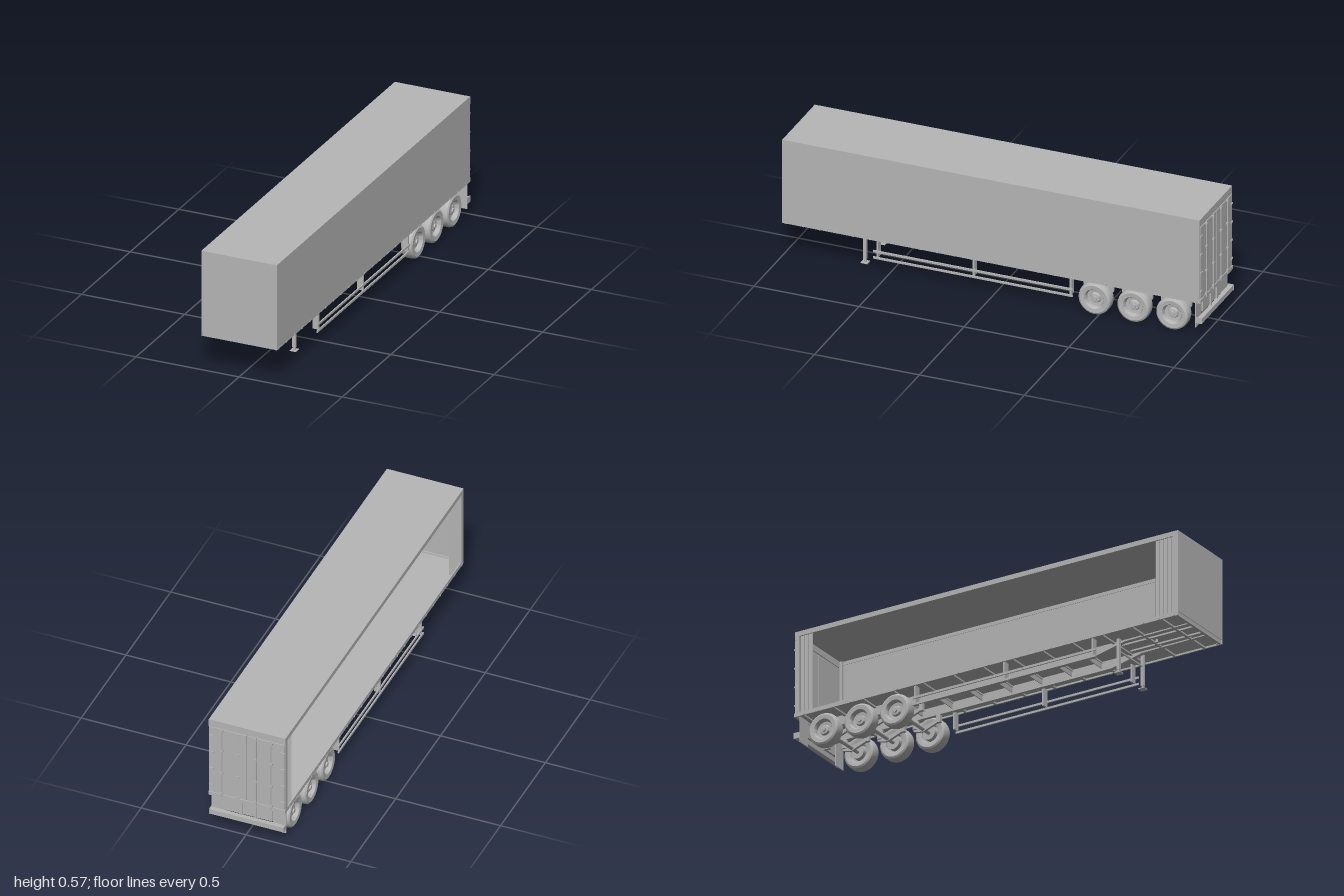
import * as THREE from 'three';
import { toCreasedNormals } from 'three/addons/utils/BufferGeometryUtils.js';

const grey = new THREE.MeshStandardMaterial({ color: 0xb6b6b6, side: THREE.DoubleSide });
grey.name = 'plainGrey';

export function createModel() {
  const root = new THREE.Group();
  root.name = 'boxTrailer';

  const add = (name, geometry, x = 0, y = 0, z = 0, parent = root) => {
    const mesh = new THREE.Mesh(geometry, grey);
    mesh.name = name;
    mesh.position.set(x, y, z);
    parent.add(mesh);
    return mesh;
  };
  // Box given by its limits on each axis
  const block = (name, x0, x1, y0, y1, z0, z1, parent = root) =>
    add(name, new THREE.BoxGeometry(x1 - x0, y1 - y0, z1 - z0),
      (x0 + x1) / 2, (y0 + y1) / 2, (z0 + z1) / 2, parent);
  // Side profile of [z, y] points, extruded across x
  const sideProfile = (name, points, width, x) => {
    const shape = new THREE.Shape(points.map(([z, y]) => new THREE.Vector2(-z, y)));
    const geometry = new THREE.ExtrudeGeometry(shape, { depth: width, bevelEnabled: false });
    geometry.translate(0, 0, -width / 2).rotateY(Math.PI / 2);
    return add(name, geometry, x);
  };
  const rod = (name, radius, length, axis, x, y, z) => {
    const geometry = new THREE.CylinderGeometry(radius, radius, length, 16);
    if (axis === 'x') geometry.rotateZ(Math.PI / 2);
    return add(name, geometry, x, y, z);
  };

  // Cargo body, open along the -x side
  block('roof', -0.183, 0.183, 0.567, 0.573, -0.985, 1);
  block('floor', -0.18, 0.18, 0.171, 0.176, -0.985, 0.995);
  block('frontWall', -0.183, 0.183, 0.183, 0.568, 0.992, 1);
  block('frontSill', -0.176, 0.176, 0.163, 0.183, 0.985, 0.997);
  block('closedCurtain', 0.179, 0.183, 0.18, 0.568, -0.985, 1);
  for (const s of [-1, 1]) {
    const x = s * 0.18;
    block('lowerSideRail', x - 0.003, x + 0.003, 0.163, 0.183, -0.985, 1);
    block('upperSideRail', x - 0.003, x + 0.003, 0.55, 0.57, -0.985, 1);
    for (const z of [-0.975, 0.985])
      block('cornerPost', s * 0.176 - 0.007, s * 0.176 + 0.007, 0.165, 0.57, z - 0.01, z + 0.01);
    // Curtain buckles
    for (let z = -0.94; z < 0.98; z += 0.08)
      block('buckle', s * 0.184 - 0.001, s * 0.184 + 0.001, 0.163, 0.172, z - 0.004, z + 0.004);
  }

  // Gathered curtain folds at both ends of the open side
  const foldedCurtain = (z0, z1, folds) => {
    const zigzag = [];
    for (let i = 0; i <= folds * 2; i++)
      zigzag.push([i % 2 ? -0.181 : -0.169, z0 + (z1 - z0) * i / (folds * 2)]);
    const outline = [...zigzag, [-0.166, z1], [-0.166, z0]];
    const shape = new THREE.Shape(outline.map(([x, z]) => new THREE.Vector2(x, -z)));
    const geometry = new THREE.ExtrudeGeometry(shape, { depth: 0.38, bevelEnabled: false });
    geometry.rotateX(-Math.PI / 2);
    add('foldedCurtain', geometry, 0, 0.18, 0);
  };
  foldedCurtain(0.875, 0.98, 5);
  foldedCurtain(-0.968, -0.905, 3);

  // Rear doors, locking rods and sill
  for (const s of [-1, 1]) {
    block('rearDoor', s * 0.09 - 0.0885, s * 0.09 + 0.0885, 0.183, 0.535, -0.99, -0.98);
    for (const x of [0.043, 0.118]) {
      rod('lockingRod', 0.003, 0.37, 'y', s * x, 0.357, -0.994);
      for (const y of [0.19, 0.3, 0.42, 0.53])
        block('rodBracket', s * x - 0.006, s * x + 0.006, y - 0.004, y + 0.004, -0.999, -0.988);
    }
    for (const y of [0.22, 0.31, 0.4, 0.49])
      block('doorHinge', s * 0.17 - 0.01, s * 0.17 + 0.01, y - 0.004, y + 0.004, -0.994, -0.986);
  }
  block('rearHeader', -0.183, 0.183, 0.537, 0.573, -0.988, -0.978);
  block('rearSill', -0.183, 0.183, 0.163, 0.181, -0.992, -0.975);

  // Chassis beams with stepped neck
  for (const s of [-1, 1]) {
    const x = s * 0.071;
    sideProfile('beamWeb', [[0.985, 0.172], [0.985, 0.164], [0.66, 0.161], [0.5, 0.128],
      [-0.95, 0.128], [-0.95, 0.172]], 0.005, x);
    sideProfile('beamFlange', [[0.985, 0.167], [0.985, 0.163], [0.66, 0.16], [0.5, 0.125],
      [-0.95, 0.125], [-0.95, 0.129], [0.5, 0.129], [0.66, 0.164]], 0.017, x);
    block('neckRail', s * 0.035 - 0.004, s * 0.035 + 0.004, 0.163, 0.172, 0.62, 0.985);
  }
  for (let i = 0; i < 13; i++) {
    const z = -0.95 + i * 0.155;
    block('crossMember', -0.178, 0.178, 0.163, 0.172, z - 0.006, z + 0.006);
    if (z < 0.5) block('crossBrace', -0.07, 0.07, 0.14, 0.163, z - 0.002, z + 0.002);
  }
  rod('kingpin', 0.006, 0.014, 'y', 0, 0.163, 0.775);

  // Landing legs
  for (const s of [-1, 1]) {
    const x = s * 0.0985;
    block('landingLeg', x - 0.0075, x + 0.0075, 0.018, 0.168, 0.633, 0.647);
    block('legShaft', x - 0.005, x + 0.005, 0.004, 0.02, 0.635, 0.645);
    block('landingFoot', x - 0.015, x + 0.015, 0.001, 0.005, 0.624, 0.656);
  }
  block('landingCrossbar', -0.092, 0.092, 0.108, 0.115, 0.637, 0.643);

  // Side guards
  for (const s of [-1, 1]) {
    for (const z of [0.55, 0.092, -0.37])
      block('guardPost', s * 0.16 - 0.015, s * 0.16 + 0.015, 0.08, 0.166, z - 0.004, z + 0.004);
    for (const y of [0.107, 0.076])
      block('guardRail', s * 0.175 - 0.003, s * 0.175 + 0.003, y - 0.005, y + 0.005, -0.38, 0.57);
  }

  // Wheels, axles and suspension
  const profile = [[0, -0.005], [0.039, -0.005], [0.042, -0.024], [0.047, -0.026], [0.066, -0.028],
    [0.074, -0.023], [0.077, -0.013], [0.077, 0.013], [0.074, 0.023], [0.066, 0.028],
    [0.047, 0.026], [0.044, 0.022], [0.04, 0.006], [0.025, 0.004], [0.021, 0.014],
    [0.011, 0.016], [0.01, 0.022], [0, 0.022]].map(([r, a]) => new THREE.Vector2(r, a));
  const wheelGeometry = toCreasedNormals(new THREE.LatheGeometry(profile, 40), 0.6)
    .rotateZ(-Math.PI / 2);
  for (const z of [-0.48, -0.665, -0.85]) {
    rod('axle', 0.009, 0.27, 'x', 0, 0.077, z);
    for (const s of [-1, 1]) {
      const wheel = add('wheel', wheelGeometry, s * 0.146, 0.078, z);
      if (s < 0) wheel.rotation.y = Math.PI;
      rod('brakeDrum', 0.032, 0.03, 'x', s * 0.128, 0.077, z);
      sideProfile('trailingArm', [[z + 0.08, 0.108], [z + 0.08, 0.094], [z, 0.064],
        [z - 0.05, 0.075], [z - 0.05, 0.086], [z, 0.088]], 0.012, s * 0.071);
      block('armHanger', s * 0.071 - 0.008, s * 0.071 + 0.008, 0.09, 0.13, z + 0.07, z + 0.09);
      rod('airSpring', 0.015, 0.045, 'y', s * 0.071, 0.105, z - 0.04);
    }
  }

  // Rear mudflaps, light panel and underrun bumper
  for (const s of [-1, 1]) {
    block('mudflap', s * 0.146 - 0.032, s * 0.146 + 0.032, 0.04, 0.163, -0.968, -0.963);
    block('bumperStrut', s * 0.035 - 0.007, s * 0.035 + 0.007, 0.085, 0.165, -0.982, -0.94);
    block('bumperEnd', s * 0.176 - 0.002, s * 0.176 + 0.002, 0.062, 0.09, -0.998, -0.97);
  }
  block('lightPanel', -0.115, 0.115, 0.09, 0.155, -0.975, -0.969);
  block('underrunBumper', -0.176, 0.176, 0.064, 0.088, -0.997, -0.975);

  return root;
}
